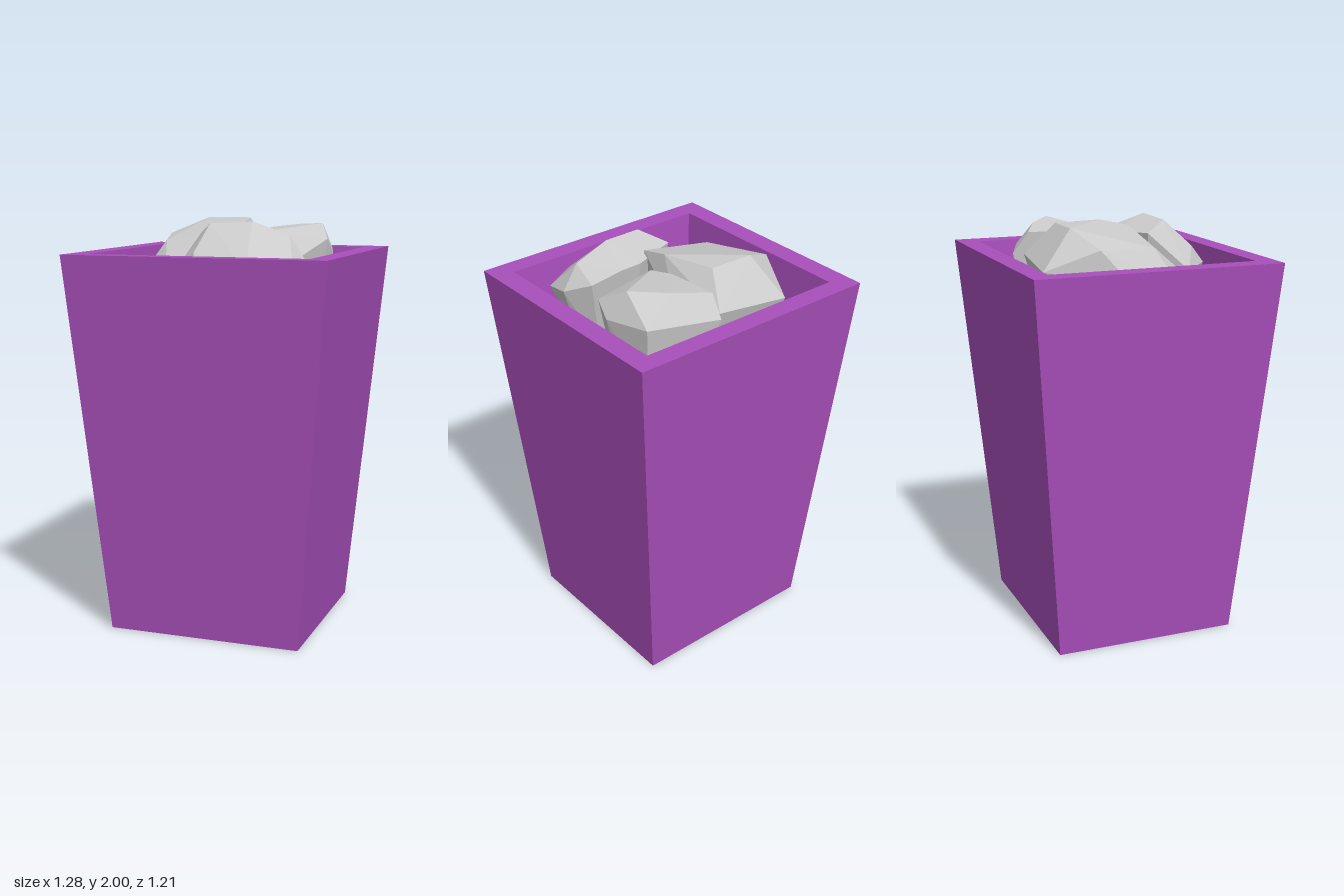
import * as THREE from 'three';
import { ConvexGeometry } from 'three/addons/geometries/ConvexGeometry.js';

// Tapered square pot: rectangular rings [halfX, y, halfZ] joined from the base, over the rim, to the inner floor
function potGeometry(rings) {
  const positions = [];
  const corner = ([hx, y, hz], i) => {
    const [sx, sz] = [[1, 1], [1, -1], [-1, -1], [-1, 1]][i % 4];
    return [hx * sx, y, hz * sz];
  };
  const quad = (a, b, c, d) => positions.push(...a, ...b, ...c, ...a, ...c, ...d);
  for (let r = 0; r < rings.length - 1; r++) {
    for (let i = 0; i < 4; i++) {
      quad(corner(rings[r], i), corner(rings[r], i + 1), corner(rings[r + 1], i + 1), corner(rings[r + 1], i));
    }
  }
  const base = rings[0], floor = rings[rings.length - 1];
  quad(corner(base, 3), corner(base, 2), corner(base, 1), corner(base, 0));
  quad(corner(floor, 0), corner(floor, 1), corner(floor, 2), corner(floor, 3));
  const geometry = new THREE.BufferGeometry();
  geometry.setAttribute('position', new THREE.Float32BufferAttribute(positions, 3));
  geometry.computeVertexNormals();
  return geometry;
}

// Faceted stone: hull of its upper corners plus a narrower underside
function stoneGeometry(corners, bottom) {
  const points = corners.map((p) => new THREE.Vector3(...p));
  const centre = new THREE.Box3().setFromPoints(points).getCenter(new THREE.Vector3());
  const underside = points.map((p, i) => new THREE.Vector3(
    centre.x + (p.x - centre.x) * 0.7,
    bottom + (i % 3) * 0.03,
    centre.z + (p.z - centre.z) * 0.7,
  ));
  return new ConvexGeometry([...points, ...underside]);
}

export function createModel() {
  const model = new THREE.Group();
  const purple = new THREE.MeshStandardMaterial({ color: 0xa84fba, flatShading: true });
  const grey = new THREE.MeshStandardMaterial({ color: 0xcccccc, flatShading: true });
  const add = (name, geometry, material) => {
    const mesh = new THREE.Mesh(geometry, material);
    mesh.name = name;
    model.add(mesh);
  };

  add('pot', potGeometry([
    [0.48, 0, 0.45], [0.64, 1.85, 0.603], [0.537, 1.85, 0.506], [0.402, 0.28, 0.378],
  ]), purple);

  // Stones heaped in the mouth of the pot
  add('largeStone', stoneGeometry([
    [-0.23, 2.0, -0.29], [-0.01, 2.0, -0.285], [0.06, 1.995, -0.03], [0.06, 1.96, 0.12],
    [-0.31, 1.9, 0.1], [-0.41, 1.92, -0.21], [-0.31, 1.82, -0.45], [0.06, 1.85, -0.42],
    [-0.48, 1.76, -0.08], [-0.41, 1.74, 0.17], [-0.23, 1.72, 0.33], [-0.14, 1.72, 0.33],
    [0.12, 1.75, -0.2],
  ], 1.42), grey);

  add('rightStone', stoneGeometry([
    [0.08, 1.95, -0.39], [0.25, 1.97, -0.31], [0.4, 1.98, -0.19], [0.14, 1.94, -0.03],
    [0.46, 1.91, -0.06], [0.47, 1.84, -0.13], [0.41, 1.85, -0.345], [0.09, 1.85, -0.465],
    [0.35, 1.82, 0.07], [0.27, 1.76, 0.085], [0.09, 1.94, -0.12], [0.13, 1.76, 0.04],
  ], 1.5), grey);

  add('frontStone', stoneGeometry([
    [0.18, 2.0, 0.25], [-0.02, 1.99, 0.27], [0.36, 1.94, 0.24], [-0.11, 1.94, 0.15],
    [0.12, 1.93, 0.07], [0.23, 1.93, 0.065], [0.36, 1.87, 0.125], [0.44, 1.82, 0.24],
    [0.42, 1.79, 0.38], [0.23, 1.79, 0.49], [-0.02, 1.77, 0.49], [-0.05, 1.86, 0.41],
    [-0.18, 1.76, 0.34],
  ], 1.5), grey);

  return model;
}
